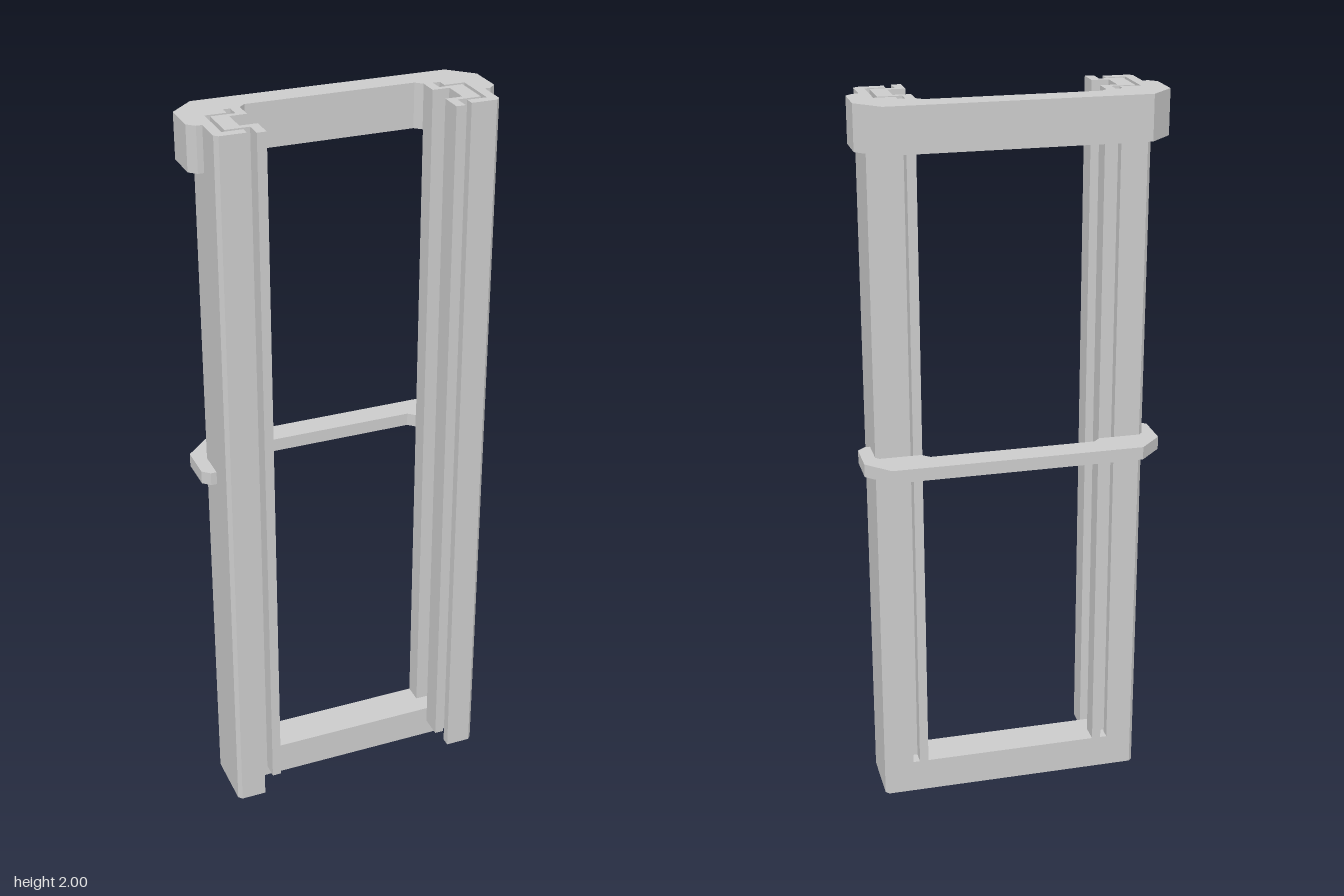
import * as THREE from 'three';

const material = new THREE.MeshStandardMaterial({ color: 0xcccccc, flatShading: true });

// Extrude a plan outline of [x, z] points upward from y0 to y1.
function prism(name, points, y0, y1) {
  const shape = new THREE.Shape(points.map(([x, z]) => new THREE.Vector2(x, -z)));
  const geometry = new THREE.ExtrudeGeometry(shape, { depth: y1 - y0, bevelEnabled: false });
  geometry.rotateX(-Math.PI / 2);
  geometry.translate(0, y0, 0);
  const mesh = new THREE.Mesh(geometry, material);
  mesh.name = name;
  return mesh;
}

const mirror = (points) => points.map(([x, z]) => [-x, z]);

export function createModel() {
  const model = new THREE.Group();
  model.name = 'mast';

  // Outer C-channel with chamfered outside corners
  const outerRail = [
    [0.29, -0.052], [0.362, -0.052], [0.372, -0.042], [0.372, 0.12], [0.362, 0.13],
    [0.292, 0.13], [0.292, 0.104], [0.346, 0.104], [0.346, -0.025], [0.29, -0.025],
  ];
  // Inner channel with lips at front and back, nested in the outer channel
  const innerRail = [
    [0.335, -0.014], [0.335, 0.093], [0.271, 0.093], [0.271, 0.14], [0.246, 0.14],
    [0.246, 0.076], [0.292, 0.076], [0.292, 0.001], [0.246, 0.001], [0.246, -0.052],
    [0.271, -0.052], [0.271, -0.014],
  ];
  for (const [side, place] of [['left', (p) => p], ['right', mirror]]) {
    model.add(prism(side + 'OuterRail', place(outerRail), 0, 2));
    model.add(prism(side + 'InnerRail', place(innerRail), 0.065, 2));
  }

  // Cross braces wrapping around the back of the rails
  const halfBrace = [
    [0.345, -0.143], [0.408, -0.08], [0.408, 0.02], [0.388, 0.039], [0.372, 0.039],
    [0.372, -0.042], [0.362, -0.052], [0.246, -0.052], [0.246, -0.054], [0.228, -0.071],
  ];
  const brace = [...halfBrace, ...mirror(halfBrace).reverse()];
  model.add(prism('topBrace', brace, 1.88, 2));
  model.add(prism('middleBrace', brace, 1.012, 1.048));

  // Bottom cross member between the outer rails
  const sill = [[-0.346, -0.052], [0.346, -0.052], [0.346, 0.056], [-0.346, 0.056]];
  model.add(prism('bottomCrossMember', sill, 0, 0.095));

  return model;
}
